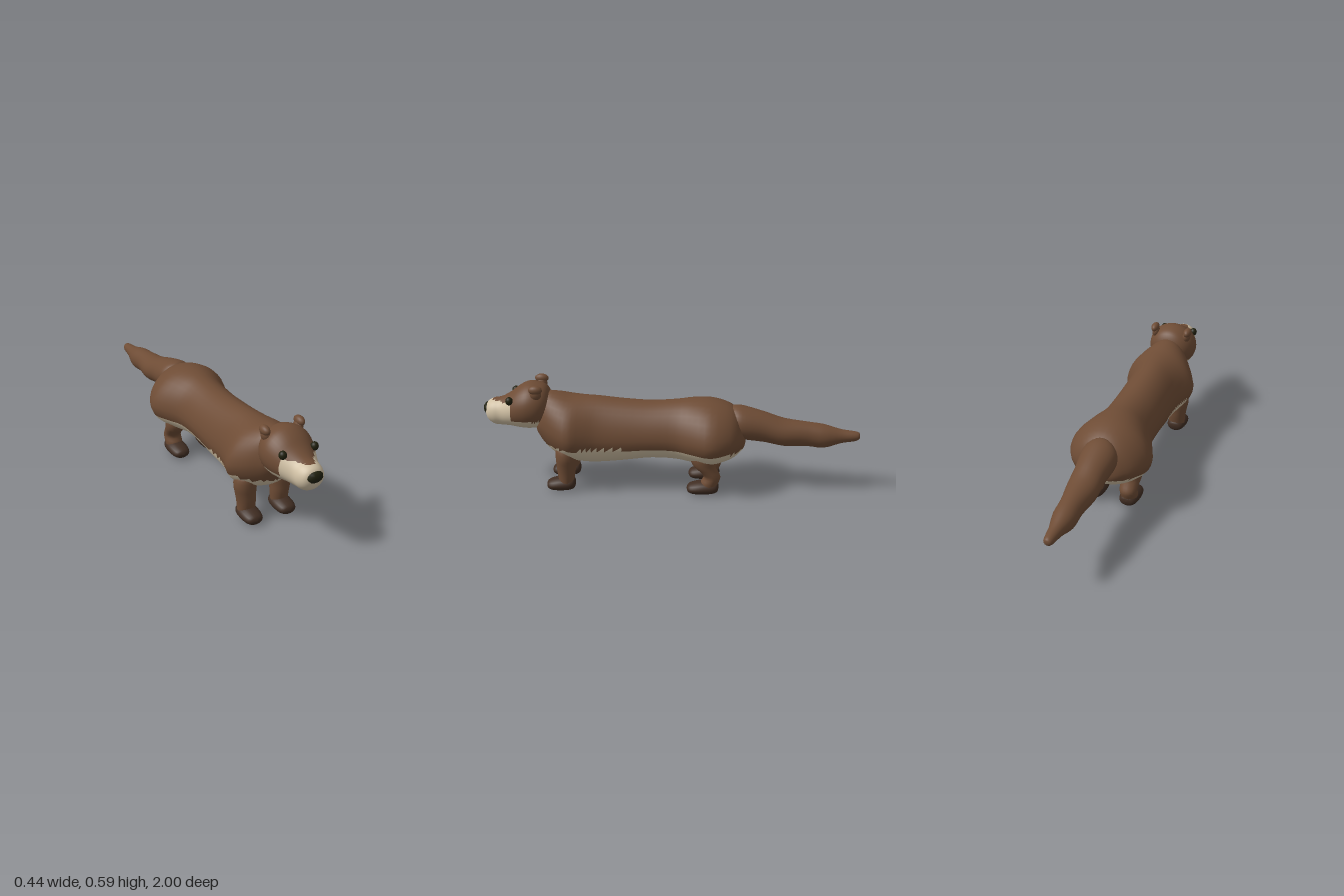
import * as THREE from 'three';

const mat = (name, color) => {
  const m = new THREE.MeshStandardMaterial({ color });
  m.name = name;
  return m;
};

// Smooth Catmull-Rom interpolation through a list of number rows
function refine(rows, steps) {
  const out = [];
  const at = i => rows[Math.min(Math.max(i, 0), rows.length - 1)];
  for (let i = 0; i < rows.length - 1; i++) {
    for (let s = 0; s < steps; s++) {
      const t = s / steps;
      out.push(rows[i].map((b, k) => {
        const a = at(i - 1)[k], c = at(i + 1)[k], d = at(i + 2)[k];
        return 0.5 * (2 * b + (c - a) * t + (2 * a - 5 * b + 4 * c - d) * t * t
          + (3 * b - a - 3 * c + d) * t * t * t);
      }));
    }
  }
  out.push(rows[rows.length - 1]);
  return out;
}

// Loft along z. Rows: [z, low, high, halfWidth, centreX].
// mid: height of the widest point, pinch: narrowing of the upper half,
// pale(x, y, z): faces that take the second material.
function loft(rows, { steps = 3, sides = 32, mid = 0.5, pinch = 0, pale = () => false } = {}) {
  const rings = refine(rows.map(r => [...r, 0].slice(0, 5)), steps);
  const pos = [];
  for (const [z, low, high, w, cx] of rings) {
    const cy = low + (high - low) * mid;
    for (let j = 0; j < sides; j++) {
      const a = j / sides * Math.PI * 2, s = Math.sin(a);
      pos.push(cx + Math.cos(a) * Math.max(w, 0) * (1 - pinch * Math.max(0, s)),
        cy + s * (s > 0 ? high - cy : cy - low), z);
    }
  }
  const main = [], second = [];
  const add = (...t) => {
    const c = [0, 1, 2].map(k => (pos[t[0] * 3 + k] + pos[t[1] * 3 + k] + pos[t[2] * 3 + k]) / 3);
    (pale(...c) ? second : main).push(...t);
  };
  for (let i = 0; i < rings.length - 1; i++) {
    for (let j = 0; j < sides; j++) {
      const k = (j + 1) % sides, p = i * sides, q = p + sides;
      add(p + j, p + k, q + j);
      add(p + k, q + k, q + j);
    }
  }
  const g = new THREE.BufferGeometry();
  g.setAttribute('position', new THREE.Float32BufferAttribute(pos, 3));
  g.setIndex([...main, ...second]);
  g.addGroup(0, main.length, 0);
  g.addGroup(main.length, second.length, 1);
  g.computeVertexNormals();
  return g;
}

// Upright loft for legs. Rows: [y, backZ, frontZ, halfWidth, centreX]
function upright(rows, side) {
  const g = loft(rows.map(([y, b, f, w, x]) => [y, -f, -b, w, x * side]), { sides: 20 });
  return g.rotateX(-Math.PI / 2);
}

export function createModel() {
  const group = new THREE.Group();
  group.name = 'otter';
  const fur = mat('brown fur', 0x6e4c35);
  const cream = mat('cream fur', 0xd0c0a4);
  const paw = mat('dark paw', 0x402d22);
  const black = mat('nose and eye black', 0x20200e);

  const add = (name, geometry, material) => {
    const m = new THREE.Mesh(geometry, material);
    m.name = name;
    group.add(m);
    return m;
  };
  const ball = (name, material, p, r, w = 16, h = 12) => {
    const m = add(name, new THREE.SphereGeometry(1, w, h), material);
    m.position.set(...p);
    m.scale.set(...r);
    return m;
  };

  // Long body with broad hips and shoulders, cream underneath
  add('body', loft([
    [-0.4, 0.29, 0.29, 0], [-0.393, 0.25, 0.35, 0.07], [-0.37, 0.22, 0.42, 0.125],
    [-0.32, 0.185, 0.472, 0.182], [-0.22, 0.155, 0.502, 0.222], [-0.12, 0.16, 0.505, 0.19],
    [-0.03, 0.172, 0.495, 0.156], [0.1, 0.175, 0.486, 0.15], [0.25, 0.155, 0.493, 0.15],
    [0.38, 0.141, 0.505, 0.153], [0.46, 0.145, 0.508, 0.175], [0.53, 0.16, 0.512, 0.197],
    [0.6, 0.187, 0.525, 0.165], [0.66, 0.23, 0.525, 0.12], [0.7, 0.285, 0.47, 0.082],
    [0.715, 0.32, 0.42, 0.045], [0.719, 0.36, 0.36, 0],
  ], { mid: 0.45, pinch: 0.12, pale: (x, y) => y < 0.258 }), [fur, cream]);

  // Head running into the muzzle, cream on cheeks and chin
  add('head', loft([
    [0.625, 0.45, 0.45, 0], [0.635, 0.4, 0.51, 0.06], [0.66, 0.36, 0.555, 0.1],
    [0.7, 0.332, 0.574, 0.126], [0.75, 0.325, 0.578, 0.133], [0.8, 0.328, 0.556, 0.122],
    [0.85, 0.335, 0.518, 0.1], [0.9, 0.336, 0.49, 0.078], [0.94, 0.34, 0.482, 0.071],
    [0.97, 0.36, 0.468, 0.056], [0.985, 0.39, 0.445, 0.03], [0.988, 0.42, 0.42, 0],
  ], { sides: 40, steps: 4, pale: (x, y, z) => y < 0.39 || (y < 0.478 && z > 0.838) }), [fur, cream]);

  ball('nose', black, [0, 0.428, 0.978], [0.044, 0.03, 0.022], 10, 8);

  // Thick tapering tail with soft swellings
  add('tail', loft([
    [-1, 0.315, 0.315, 0], [-0.995, 0.298, 0.333, 0.018], [-0.97, 0.287, 0.341, 0.027],
    [-0.9, 0.275, 0.35, 0.037], [-0.81, 0.248, 0.375, 0.06], [-0.72, 0.256, 0.387, 0.062],
    [-0.6, 0.256, 0.402, 0.081], [-0.5, 0.275, 0.435, 0.084], [-0.4, 0.287, 0.463, 0.096],
    [-0.35, 0.3, 0.471, 0.09], [-0.32, 0.33, 0.46, 0.06], [-0.31, 0.39, 0.39, 0],
  ], { sides: 28 }), fur);

  for (const side of [1, -1]) {
    const tag = side > 0 ? 'left' : 'right';
    ball(tag + 'Eye', black, [side * 0.088, 0.498, 0.842], [0.02, 0.022, 0.02]);

    // Small round ear on a short stem
    ball(tag + 'Ear', fur, [side * 0.097, 0.565, 0.7], [0.022, 0.024, 0.037]);
    ball(tag + 'EarBase', fur, [side * 0.092, 0.54, 0.7], [0.022, 0.032, 0.03]);

    add(tag + 'FrontLeg', upright([
      [0.03, 0.52, 0.59, 0.045, 0.098], [0.1, 0.505, 0.6, 0.05, 0.098],
      [0.15, 0.5, 0.603, 0.054, 0.102], [0.2, 0.495, 0.606, 0.06, 0.104],
      [0.25, 0.5, 0.6, 0.05, 0.1], [0.27, 0.55, 0.55, 0, 0.1],
    ], side), fur);
    add(tag + 'HindLeg', upright([
      [0.03, -0.245, -0.16, 0.04, 0.098], [0.07, -0.262, -0.165, 0.047, 0.098],
      [0.105, -0.27, -0.182, 0.047, 0.098], [0.14, -0.252, -0.155, 0.05, 0.1],
      [0.17, -0.238, -0.125, 0.054, 0.102], [0.21, -0.235, -0.108, 0.056, 0.102],
      [0.25, -0.22, -0.12, 0.045, 0.1], [0.27, -0.17, -0.17, 0, 0.1],
    ], side), fur);

    // Rounded paws, toes forward
    for (const [name, z] of [['FrontPaw', 0.505], ['HindPaw', -0.262]]) {
      const foot = add(tag + name, loft([
        [0, 0.045, 0.045, 0], [0.006, 0.018, 0.067, 0.033], [0.03, 0.006, 0.075, 0.049],
        [0.08, 0.001, 0.075, 0.054], [0.125, 0.003, 0.064, 0.048],
        [0.148, 0.013, 0.052, 0.032], [0.156, 0.033, 0.033, 0],
      ], { sides: 20 }), paw);
      foot.position.set(side * 0.097, 0, z);
      if (name === 'HindPaw') foot.scale.z = 1.1;
    }
  }
  return group;
}
